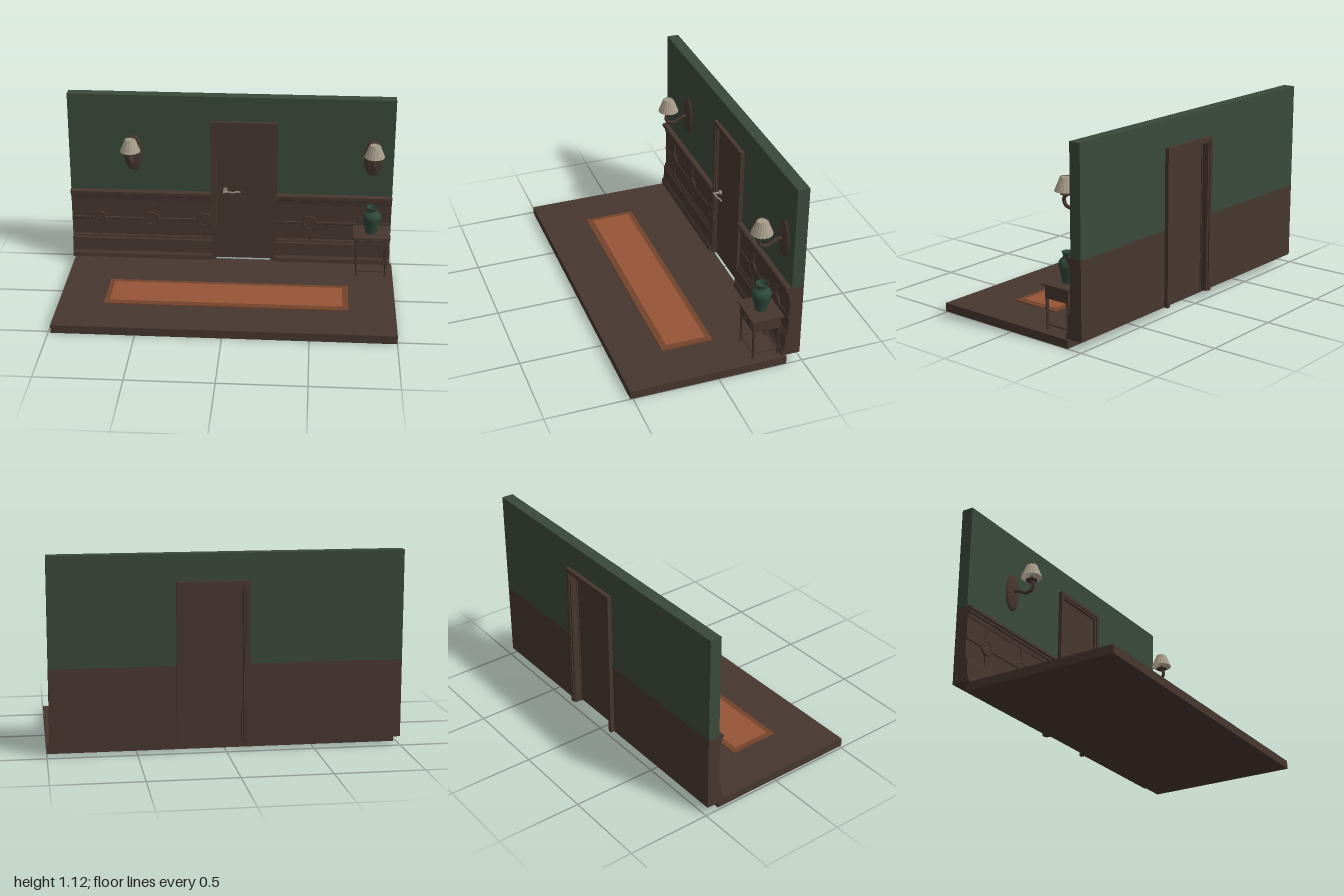
import * as THREE from 'three';

const mat = (name, color, side = THREE.FrontSide) => {
  const m = new THREE.MeshStandardMaterial({ color, side });
  m.name = name;
  return m;
};

export function createModel() {
  const root = new THREE.Group();
  root.name = 'hallway';
  const wood = mat('dark wood', 0x47372f);
  const green = mat('green wall paint', 0x3a493b);
  const rugRed = mat('rug centre', 0x965538);
  const rugEdge = mat('rug border', 0x74432c);
  const cream = mat('lampshade cream', 0xa79c8a, THREE.DoubleSide);
  const glaze = mat('vase glaze', 0x2f483b, THREE.DoubleSide);
  const metal = mat('handle metal', 0x8f887d);

  const add = (name, geo, material, parent = root) => {
    const m = new THREE.Mesh(geo, material);
    m.name = name;
    parent.add(m);
    return m;
  };
  // box from its min and max corners
  const box = (name, material, x0, x1, y0, y1, z0, z1, parent) => {
    const g = new THREE.BoxGeometry(x1 - x0, y1 - y0, z1 - z0);
    g.translate((x0 + x1) / 2, (y0 + y1) / 2, (z0 + z1) / 2);
    return add(name, g, material, parent);
  };
  // moulding: a [z, y] profile run along x
  const moulding = (name, profile, x0, x1) => {
    const shape = new THREE.Shape(profile.map(p => new THREE.Vector2(...p)));
    const g = new THREE.ExtrudeGeometry(shape, { depth: x1 - x0, bevelEnabled: false });
    g.rotateY(-Math.PI / 2).translate(x1, 0, 0);
    return add(name, g, wood);
  };
  const lathe = (pts, n) => new THREE.LatheGeometry(pts.map(p => new THREE.Vector2(...p)), n);

  // floor slab and rug
  box('floor', wood, -0.985, 1, 0, 0.05, -0.405, 0.515);
  box('rugBorder', rugEdge, -0.715, 0.725, 0.05, 0.056, -0.07, 0.235);
  box('rugCentre', rugRed, -0.685, 0.69, 0.052, 0.059, -0.038, 0.2);

  // wall around the door opening
  const L = -1, R = 0.985, B = -0.49, F = -0.42, O0 = -0.11, O1 = 0.26;
  for (const [x0, x1] of [[L, O0], [O1, R]]) {
    box('lowerWall', wood, x0, x1, 0.05, 0.5, B, F);
    box('upperWall', green, x0, x1, 0.5, 0.95, B, F);
  }
  box('wallTop', green, L, R, 0.95, 1.122, B, F);

  // wainscot: backing, skirting and rails on both sides of the door
  for (const [x0, x1] of [[L, -0.125], [0.275, R]]) {
    box('wainscotBacking', wood, x0, x1, 0.05, 0.46, F, -0.413);
    moulding('skirting', [[F, 0.05], [-0.382, 0.05], [-0.384, 0.075], [-0.396, 0.092], [-0.398, 0.175],
      [-0.404, 0.18], [-0.407, 0.195], [-0.413, 0.2], [F, 0.2]], x0, x1);
    moulding('chairRail', [[F, 0.435], [-0.407, 0.435], [-0.404, 0.46], [-0.398, 0.465], [-0.397, 0.478],
      [-0.388, 0.482], [-0.388, 0.496], [-0.394, 0.502], [F, 0.502]], x0, x1);
    moulding('middleRail', [[F, 0.302], [-0.41, 0.302], [-0.407, 0.306], [-0.407, 0.316],
      [-0.41, 0.32], [F, 0.32]], x0, x1);
  }
  // round bosses and stiles
  for (const x of [-0.83, -0.5, -0.165, 0.485, 0.82]) {
    box('stile', wood, x - 0.008, x + 0.008, 0.195, 0.44, F, -0.407);
    const ring = add('bossRing', new THREE.TorusGeometry(0.04, 0.008, 8, 28), wood);
    ring.position.set(x, 0.312, -0.409);
    const disc = add('bossDisc', new THREE.CylinderGeometry(0.036, 0.038, 0.01, 28).rotateX(Math.PI / 2), wood);
    disc.position.set(x, 0.312, -0.41);
  }

  // door frame: stepped casings joined by a jamb
  const arch = (name, out, inn, z0, z1) => {
    const [a, b, top] = out, [c, d, innTop] = inn;
    const s = new THREE.Shape([[a, 0.05], [c, 0.05], [c, innTop], [d, innTop], [d, 0.05], [b, 0.05],
      [b, top], [a, top]].map(p => new THREE.Vector2(...p)));
    const g = new THREE.ExtrudeGeometry(s, { depth: z1 - z0, bevelEnabled: false });
    add(name, g.translate(0, 0, z0), wood);
  };
  const outer = [-0.13, 0.28, 0.968], middle = [-0.108, 0.258, 0.946], inner = [-0.096, 0.246, 0.934];
  arch('frontCasingEdge', outer, middle, F, -0.396);
  arch('backCasingEdge', outer, middle, -0.514, B);
  arch('frontCasing', middle, inner, F, -0.404);
  arch('backCasing', middle, inner, -0.506, B);
  arch('doorJamb', [-0.112, 0.262, 0.952], inner, B, F);
  arch('doorStop', inner, [-0.09, 0.24, 0.928], -0.468, -0.424);
  box('door', wood, -0.092, 0.242, 0.056, 0.93, -0.462, -0.416);

  // door handle: rose, spindle and wavy lever
  const handle = new THREE.Group();
  handle.name = 'doorHandle';
  root.add(handle);
  const rose = add('handleRose', new THREE.CylinderGeometry(0.014, 0.015, 0.014, 20).rotateX(Math.PI / 2), metal, handle);
  rose.position.set(-0.04, 0.52, -0.41);
  const spindle = add('handleSpindle', new THREE.CylinderGeometry(0.006, 0.007, 0.045, 12).rotateX(Math.PI / 2), metal, handle);
  spindle.position.set(-0.04, 0.52, -0.388);
  const leverPath = new THREE.CatmullRomCurve3([[-0.048, 0.52, -0.37], [-0.02, 0.524, -0.369],
    [0.01, 0.519, -0.372], [0.035, 0.524, -0.376], [0.05, 0.52, -0.38]].map(p => new THREE.Vector3(...p)));
  add('handleLever', new THREE.TubeGeometry(leverPath, 20, 0.006, 8), metal, handle);
  for (const t of [0, 1]) {
    add('leverEnd', new THREE.SphereGeometry(0.0062, 10, 8), metal, handle).position.copy(leverPath.getPoint(t));
  }

  // wall lamps
  const makeLamp = x => {
    const lamp = new THREE.Group();
    lamp.name = 'wallLamp';
    lamp.position.x = x;
    root.add(lamp);
    const plate = lathe([[0, 0.022], [0.036, 0.02], [0.042, 0.013], [0.05, 0.014], [0.057, 0.007], [0.057, 0]].reverse(), 36);
    plate.rotateX(Math.PI / 2).scale(1, 2, 1);
    add('lampPlate', plate, wood, lamp).position.set(0, 0.752, F);
    const path = new THREE.CatmullRomCurve3([[0.757, -0.4], [0.757, -0.382], [0.742, -0.35], [0.727, -0.315],
      [0.735, -0.282], [0.762, -0.268], [0.782, -0.274], [0.797, -0.283]].map(([y, z]) => new THREE.Vector3(0, y, z)));
    add('lampArm', new THREE.TubeGeometry(path, 40, 0.0105, 10), wood, lamp);
    const cup = lathe([[0, 0.782], [0.011, 0.784], [0.016, 0.791], [0.033, 0.796], [0.033, 0.8], [0.009, 0.801],
      [0.007, 0.825], [0, 0.825]], 24);
    add('lampCup', cup, wood, lamp).position.z = -0.283;
    // pleated shade: radius waves around the axis
    const shade = new THREE.CylinderGeometry(0.03, 0.061, 0.078, 72, 1, true);
    const p = shade.attributes.position;
    for (let i = 0; i < p.count; i++) {
      const k = 1 + 0.035 * Math.cos(18 * Math.atan2(p.getX(i), p.getZ(i)));
      p.setX(i, p.getX(i) * k);
      p.setZ(i, p.getZ(i) * k);
    }
    shade.computeVertexNormals();
    add('lampShade', shade, cream, lamp).position.set(0, 0.853, -0.283);
    const cap = add('shadeCap', new THREE.CylinderGeometry(0.029, 0.029, 0.003, 24), cream, lamp);
    cap.position.set(0, 0.885, -0.283);
  };
  [-0.605, 0.86].forEach(makeLamp);

  // side table
  const table = new THREE.Group();
  table.name = 'sideTable';
  root.add(table);
  box('tableTop', wood, 0.752, 0.976, 0.306, 0.315, -0.39, -0.202, table);
  box('tableApron', wood, 0.768, 0.96, 0.232, 0.306, -0.377, -0.213, table);
  box('drawerFront', wood, 0.785, 0.943, 0.243, 0.298, -0.215, -0.209, table);
  add('drawerKnob', new THREE.SphereGeometry(0.007, 14, 10), wood, table).position.set(0.864, 0.272, -0.204);
  for (const x of [0.776, 0.952]) {
    for (const z of [-0.221, -0.369]) {
      const leg = add('tableLeg', new THREE.CylinderGeometry(0.0095, 0.0065, 0.19, 4, 1).rotateY(Math.PI / 4), wood, table);
      leg.material = wood;
      leg.position.set(x, 0.145, z);
    }
    box('sideStretcher', wood, x - 0.004, x + 0.004, 0.081, 0.088, -0.369, -0.221, table);
  }
  for (const z of [-0.221, -0.369]) box('longStretcher', wood, 0.776, 0.952, 0.081, 0.088, z - 0.004, z + 0.004, table);

  // vase
  const profile = new THREE.SplineCurve([[0.037, 0.315], [0.04, 0.34], [0.05, 0.385], [0.056, 0.415], [0.05, 0.436],
    [0.034, 0.452], [0.031, 0.465], [0.037, 0.484]].map(p => new THREE.Vector2(...p))).getPoints(32);
  const vase = new THREE.LatheGeometry([new THREE.Vector2(0, 0.315), ...profile,
    new THREE.Vector2(0.033, 0.484), new THREE.Vector2(0.027, 0.465), new THREE.Vector2(0.03, 0.45),
    new THREE.Vector2(0, 0.44)], 36);
  add('vase', vase, glaze).position.set(0.862, 0, -0.298);

  return root;
}
